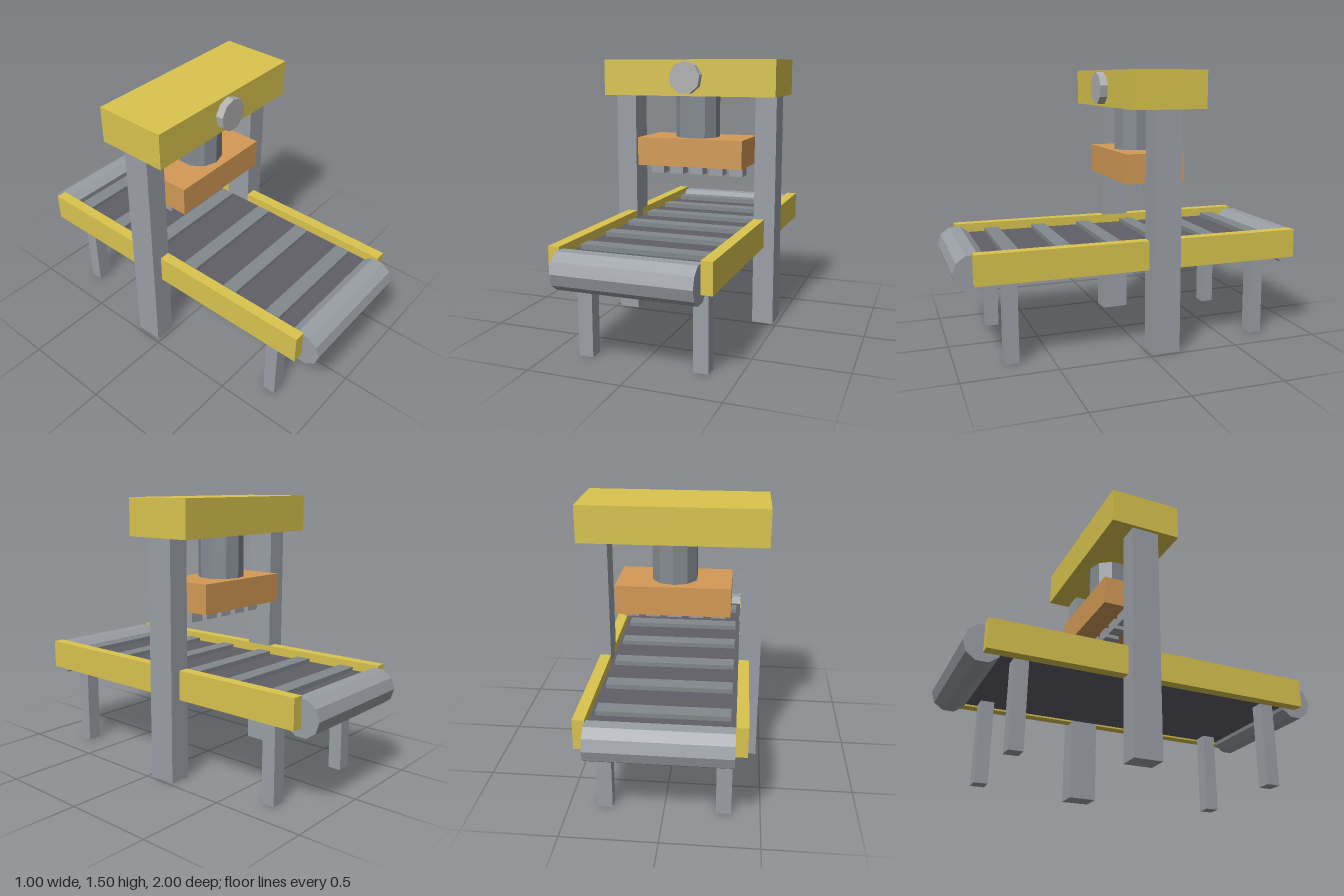
import * as THREE from 'three';

const paint = (color) => new THREE.MeshStandardMaterial({ color, flatShading: true });

export function createModel() {
  const model = new THREE.Group();
  const yellow = paint(0xd9c44e);
  const orange = paint(0xd39a55);
  const steel = paint(0x9a9fa6);
  const darkSteel = paint(0x858b93);
  const rubber = paint(0x605e68);
  const slatGrey = paint(0x82888c);
  const dialGrey = paint(0xb0b0b0);

  const add = (name, geometry, material, x, y, z) => {
    const mesh = new THREE.Mesh(geometry, material);
    mesh.name = name;
    mesh.position.set(x, y, z);
    model.add(mesh);
    return mesh;
  };
  // Box given by centre x/z, bottom and top heights, and its width and depth
  const box = (name, material, x, z, y0, y1, w, d) =>
    add(name, new THREE.BoxGeometry(w, y1 - y0, d), material, x, (y0 + y1) / 2, z);

  const pressZ = -0.095;

  // Conveyor: belt, raised slats and end rollers
  box('belt', rubber, 0, 0, 0.46, 0.56, 0.72, 1.76);
  for (let i = 0; i < 6; i++) {
    box('beltSlat', slatGrey, 0, -0.72 + i * 0.282, 0.55, 0.585, 0.67, 0.083);
  }
  for (const s of [-1, 1]) {
    const roller = add('roller', new THREE.CylinderGeometry(0.1, 0.1, 0.72, 10), steel, 0, 0.5, s * 0.9);
    roller.rotation.z = Math.PI / 2;
  }

  // Side rails, legs and press columns, mirrored left and right
  for (const s of [-1, 1]) {
    box('sideRail', yellow, s * 0.39, 0, 0.45, 0.61, 0.06, 1.8);
    box('pressColumn', steel, s * 0.42, pressZ, 0, 1.3, 0.12, 0.155);
    for (const z of [-0.707, 0.713]) {
      box('leg', steel, s * 0.31, z, 0, 0.47, 0.08, 0.075);
    }
  }

  // Press: top beam, dial, piston and head with its row of teeth
  box('topBeam', yellow, 0, -0.1, 1.3, 1.5, 1, 0.4);
  const dial = add('dial', new THREE.CylinderGeometry(0.09, 0.09, 0.06, 9), dialGrey, 0, 1.4, 0.113);
  dial.rotation.x = -Math.PI / 2;
  add('piston', new THREE.CylinderGeometry(0.126, 0.126, 0.26, 10), darkSteel, 0, 1.18, pressZ);
  box('pressHead', orange, 0, pressZ, 0.9, 1.06, 0.62, 0.33);
  for (let i = -2; i <= 2; i++) {
    box('pressTooth', steel, i * 0.12, pressZ, 0.84, 0.91, 0.081, 0.081);
  }

  return model;
}
